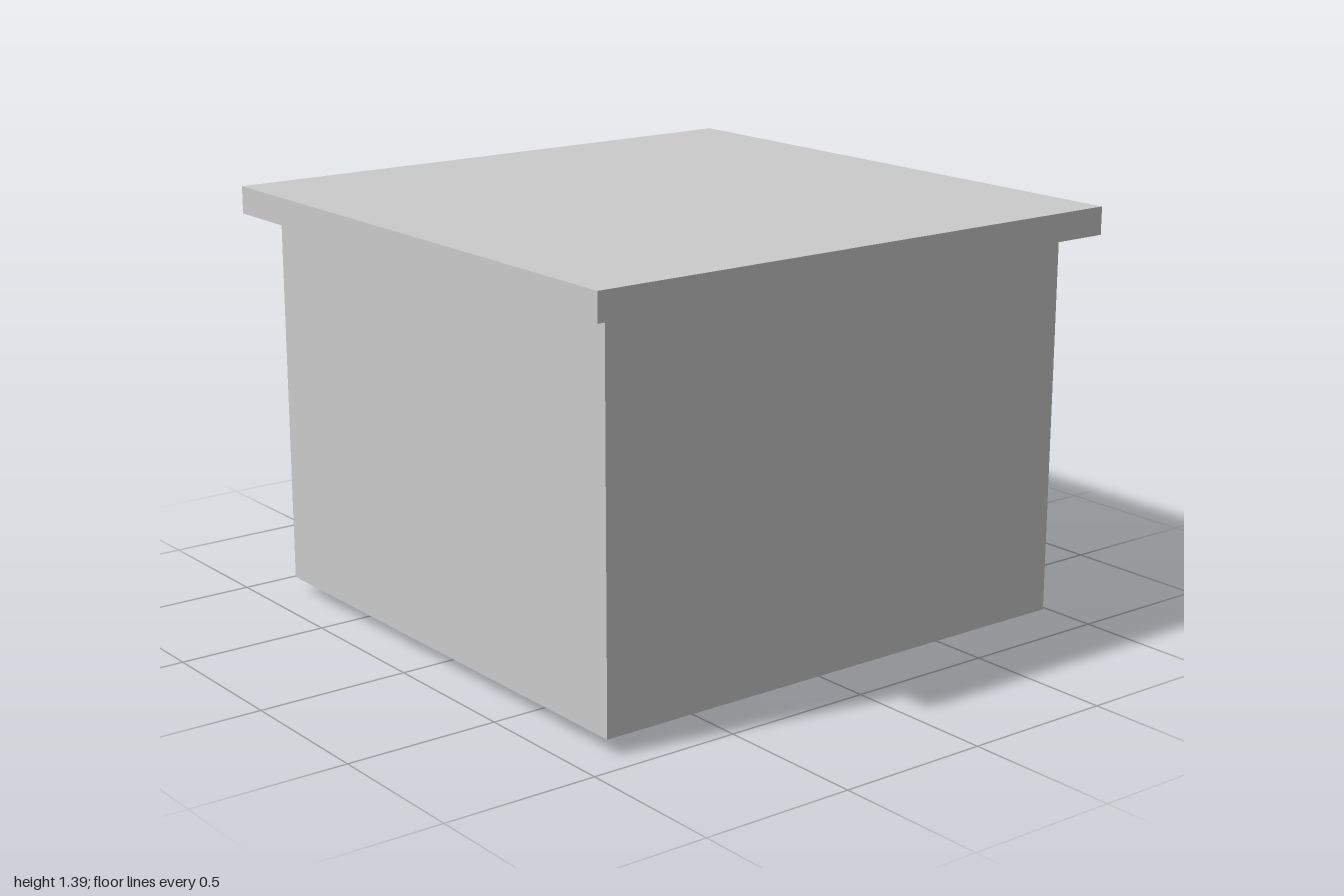
import * as THREE from 'three';

const material = new THREE.MeshStandardMaterial({ color: 0xcccccc, flatShading: true });
const X0 = -0.865, X1 = 0.905, Z = 0.885, Y0 = 0.05, Y1 = 1.29;
const WALL = 0.2;      // thickness of the arched wall
const REVEAL = 0.145;  // distance from wall face to window frame
const SILL = 0.083, HALF = 0.226;

// Round-headed outline, optionally inset
function arch(target, cx, top, inset = 0) {
  const r = HALF - inset, spring = top - HALF, bottom = SILL + inset;
  target.moveTo(cx - r, bottom);
  target.lineTo(cx + r, bottom);
  target.lineTo(cx + r, spring);
  target.absarc(cx, spring, r, 0, Math.PI, false);
  target.lineTo(cx - r, bottom);
  return target;
}

export function createModel() {
  const model = new THREE.Group();

  function add(name, geometry, parent = model) {
    const mesh = new THREE.Mesh(geometry, material);
    mesh.name = name;
    parent.add(mesh);
    return mesh;
  }
  // Box given by its minimum and maximum corners
  function box(name, x0, x1, y0, y1, z0, z1, parent) {
    const mesh = add(name, new THREE.BoxGeometry(x1 - x0, y1 - y0, z1 - z0), parent);
    mesh.position.set((x0 + x1) / 2, (y0 + y1) / 2, (z0 + z1) / 2);
    return mesh;
  }
  function extrude(name, shape, depth, z, parent) {
    const mesh = add(name, new THREE.ExtrudeGeometry(shape,
      { depth, bevelEnabled: false, curveSegments: 6 }), parent);
    mesh.position.z = z;
    return mesh;
  }

  const openings = [
    { name: 'leftWindow', cx: 0.62, top: 0.926 },
    { name: 'doorway', cx: 0.033, top: 1.134, door: true },
    { name: 'rightWindow', cx: -0.552, top: 0.926 },
  ];

  // Main block and arched rear wall
  box('mainWalls', X0, X1, Y0, Y1, -Z + WALL, Z);
  const wall = new THREE.Shape();
  wall.moveTo(X0, Y0);
  wall.lineTo(X1, Y0);
  wall.lineTo(X1, Y1);
  wall.lineTo(X0, Y1);
  wall.closePath();
  for (const o of openings) wall.holes.push(arch(new THREE.Path(), o.cx, o.top));
  extrude('archedWall', wall, WALL, -Z);

  // Frames and panes set back in the openings
  for (const o of openings) {
    const group = new THREE.Group();
    group.name = o.name;
    model.add(group);
    const ring = arch(new THREE.Shape(), o.cx, o.top);
    ring.holes.push(arch(new THREE.Path(), o.cx, o.top, 0.03));
    const zf = -Z + REVEAL;
    extrude('frame', ring, WALL - REVEAL, zf, group);
    extrude('pane', arch(new THREE.Shape(), o.cx, o.top, 0.02), 0.01, -Z + WALL - 0.01, group);
    if (o.door) {
      box('transom', o.cx - 0.2, o.cx + 0.2, 0.955, 0.985, zf, -Z + WALL, group);
      box('mullion', o.cx - 0.016, o.cx + 0.016, SILL + 0.02, 0.96, zf + 0.005, -Z + WALL, group);
    }
  }

  // Flared moulding under the roof: a unit box widened at its top
  const moulding = new THREE.BoxGeometry(X1 - X0, 0.02, 2 * Z);
  const p = moulding.attributes.position;
  for (let i = 0; i < p.count; i++) {
    if (p.getY(i) > 0) {
      p.setX(i, p.getX(i) + Math.sign(p.getX(i)) * 0.038);
      p.setZ(i, p.getZ(i) + Math.sign(p.getZ(i)) * 0.038);
    }
  }
  add('eavesMoulding', moulding).position.set((X0 + X1) / 2, 1.288, 0);

  // Flat overhanging roof
  box('roof', -0.955, 0.995, 1.297, 1.387, -0.977, 0.975);

  // Low ledge along the side, and drainpipe by the corner
  box('sideLedge', -1, -0.88, 0.063, 0.272, -0.75, 0.72);
  add('drainpipe', new THREE.CylinderGeometry(0.021, 0.021, 1.3, 10)).position.set(-0.905, 0.65, -0.83);

  return model;
}
